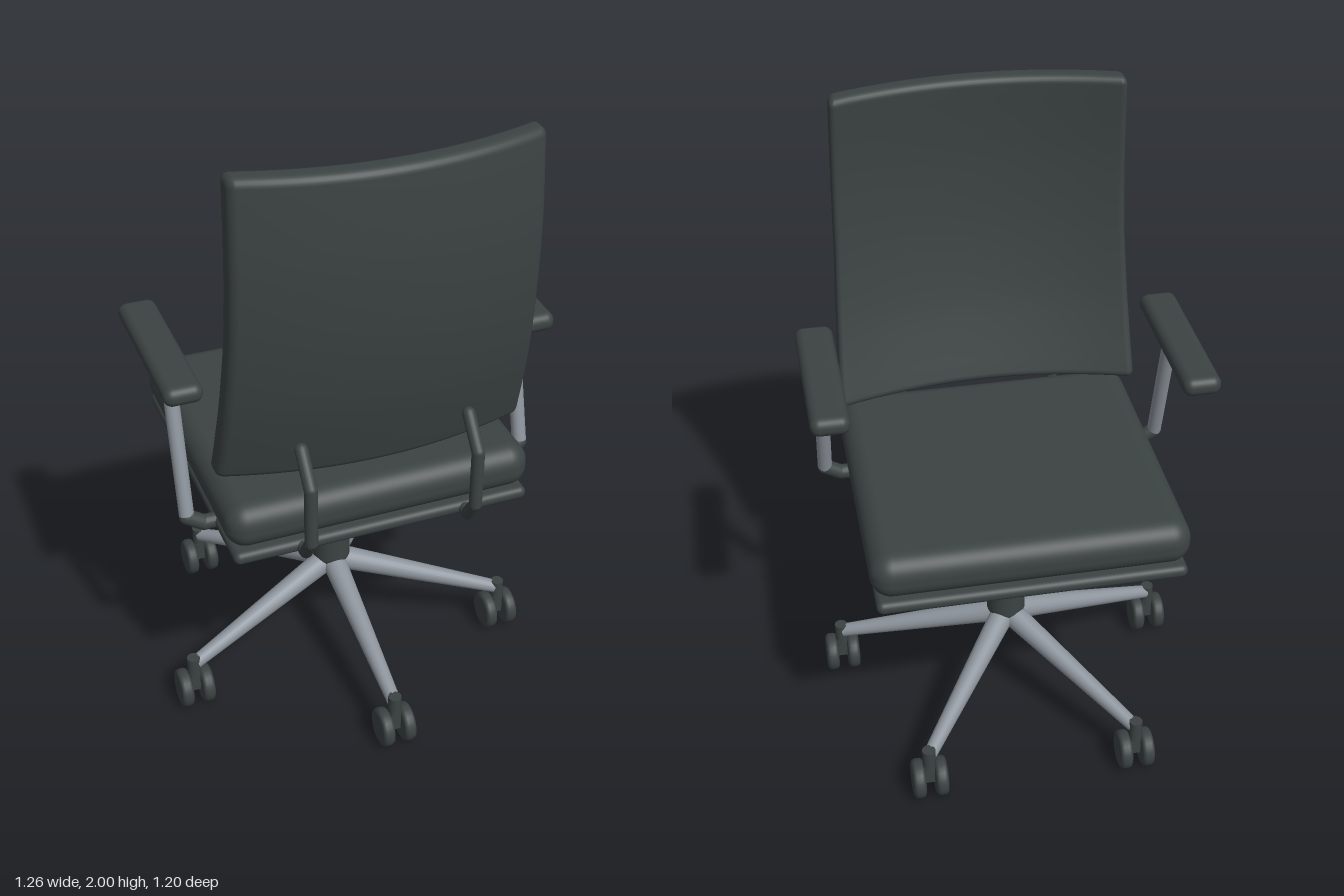
import * as THREE from 'three';
import { mergeVertices } from 'three/addons/utils/BufferGeometryUtils.js';
import { RoundedBoxGeometry } from 'three/addons/geometries/RoundedBoxGeometry.js';

const flat = (name, color) => {
  const m = new THREE.MeshStandardMaterial({ color });
  m.name = name;
  return m;
};

// Rod between two points; r0 at the start, r1 at the end
function rod(a, b, r0, r1, mat, name) {
  const d = new THREE.Vector3().subVectors(b, a);
  const m = new THREE.Mesh(new THREE.CylinderGeometry(r1, r0, d.length(), 20), mat);
  m.position.copy(a).addScaledVector(d, 0.5);
  m.quaternion.setFromUnitVectors(new THREE.Vector3(0, 1, 0), d.normalize());
  m.name = name;
  return m;
}

// Bent bar: straight runs joined by balls
function bentBar(points, r, mat, name) {
  const g = new THREE.Group();
  g.name = name;
  points.forEach((p, i) => {
    const joint = new THREE.Mesh(new THREE.SphereGeometry(r, 16, 10), mat);
    joint.position.copy(p);
    joint.name = name + 'Joint';
    g.add(joint);
    if (i) g.add(rod(points[i - 1], p, r, r, mat, name + 'Run'));
  });
  return g;
}

// Piecewise linear lookup
function lookup(table, y) {
  let i = 1;
  while (i < table.length - 1 && y > table[i][0]) i++;
  const [y0, v0] = table[i - 1], [y1, v1] = table[i];
  return v0 + (v1 - v0) * (y - y0) / (y1 - y0);
}

// Backrest: soft-edged slab, bowed sideways and curved along its height
function backrestGeometry() {
  const h = [0.5, 0.5, 0.038], n = [28, 28, 8], r = 0.025;
  const geo = new THREE.BoxGeometry(2, 2, 2, ...n);
  geo.deleteAttribute('uv');
  geo.deleteAttribute('normal');
  const pos = geo.attributes.position;
  const lean = new THREE.SplineCurve([[1, -0.115], [1.15, -0.07], [1.3, -0.032], [1.5, 0],
    [1.7, 0.013], [1.85, 0.01], [2, 0]].map(p => new THREE.Vector2(...p)));
  const leanTable = lean.getPoints(40).map(p => [p.x, p.y]);
  const width = [[1, 0.965], [1.5, 0.92], [2, 0.897]];
  const p = new THREE.Vector3(), core = new THREE.Vector3();
  // crowd three grid lines into each rounded edge
  const remap = (t, k) => {
    const i = Math.round((t + 1) / 2 * n[k]), j = Math.min(i, n[k] - i);
    if (j <= 3) return Math.sign(t) * (h[k] - r + r * Math.tan((1 - j / 3) * Math.PI / 4));
    return (h[k] - r) * (2 * (i - 3) / (n[k] - 6) - 1);
  };
  for (let i = 0; i < pos.count; i++) {
    p.set(remap(pos.getX(i), 0), remap(pos.getY(i), 1), remap(pos.getZ(i), 2));
    core.set(...p.toArray().map((v, k) => THREE.MathUtils.clamp(v, r - h[k], h[k] - r)));
    p.sub(core).normalize().multiplyScalar(r).add(core);
    const y = p.y + 1.5, u = p.x * 2;
    pos.setXYZ(i, p.x * lookup(width, y), y, p.z + 0.5 - 0.08 * u * u + lookup(leanTable, y));
  }
  const out = mergeVertices(geo, 1e-5);
  out.computeVertexNormals();
  return out;
}

export function createModel() {
  const dark = flat('charcoal', 0x3c4343);
  const metal = flat('brushedMetal', 0x8c939b);
  const V = (x, y, z) => new THREE.Vector3(x, y, z);

  const root = new THREE.Group();
  root.name = 'officeChair';
  const chair = new THREE.Group();
  chair.name = 'chair';
  chair.position.z = -0.03;
  chair.rotation.y = -0.115;
  root.add(chair);

  const add = (geo, mat, name, x, y, z, parent = chair) => {
    const m = new THREE.Mesh(geo, mat);
    m.position.set(x, y, z);
    m.name = name;
    parent.add(m);
    return m;
  };

  // Seat, pan and tilt mechanism
  add(new RoundedBoxGeometry(0.965, 0.145, 0.93, 6, 0.065), dark, 'seatCushion', 0, 0.872, 0);
  add(new RoundedBoxGeometry(0.94, 0.042, 0.93, 4, 0.02), dark, 'seatPan', 0, 0.78, 0);
  add(new THREE.BoxGeometry(0.28, 0.03, 0.3), dark, 'mechanismPlate', 0, 0.752, 0.035);
  add(new RoundedBoxGeometry(0.335, 0.092, 0.4, 4, 0.02), dark, 'mechanism', 0, 0.7, 0.045);

  // Backrest
  add(backrestGeometry(), dark, 'backrest', 0, 0, 0);

  for (const s of [-1, 1]) {
    // Backrest bracket
    chair.add(bentBar([V(s * 0.26, 0.778, 0.36), V(s * 0.26, 0.778, 0.485), V(s * 0.26, 0.845, 0.532),
      V(s * 0.26, 1.035, 0.532), V(s * 0.26, 1.125, 0.455)], 0.02, dark, 'backBracket'));
    // Armrest
    add(new RoundedBoxGeometry(0.117, 0.06, 0.54, 5, 0.028), dark, 'armPad', s * 0.55, 1.275, 0.04);
    chair.add(rod(V(s * 0.55, 0.81, 0.24), V(s * 0.55, 1.26, 0.122), 0.023, 0.023, metal, 'armPost'));
    chair.add(bentBar([V(s * 0.55, 0.808, 0.241), V(s * 0.5, 0.778, 0.245),
      V(s * 0.34, 0.778, 0.245)], 0.024, dark, 'armElbow'));
  }

  // Gas column
  add(new THREE.CylinderGeometry(0.05, 0.05, 0.2, 32), metal, 'columnRod', 0, 0.58, 0);
  const sleeve = [[0, 0.27], [0.04, 0.27], [0.063, 0.335], [0.063, 0.335], [0.063, 0.53], [0.063, 0.53], [0, 0.53]];
  add(new THREE.LatheGeometry(sleeve.map(p => new THREE.Vector2(...p)), 32), dark, 'columnSleeve', 0, 0, 0);

  // Five-star base with twin-wheel casters
  const tyre = [[0, -0.02], [0.05, -0.02], [0.059, -0.016], [0.063, -0.008],
    [0.063, 0.008], [0.059, 0.016], [0.05, 0.02], [0, 0.02]].map(p => new THREE.Vector2(...p));
  const wheelGeo = new THREE.LatheGeometry(tyre, 28).rotateZ(Math.PI / 2);
  for (let i = 0; i < 5; i++) {
    const a = i * Math.PI * 2 / 5, dx = Math.sin(a), dz = Math.cos(a);
    const x = dx * 0.57, z = dz * 0.57;
    chair.add(rod(V(dx * 0.03, 0.31, dz * 0.03), V(x * 0.985, 0.157, z * 0.985), 0.04, 0.022, metal, 'baseLeg'));
    const caster = new THREE.Group();
    caster.name = 'caster';
    caster.position.set(x, 0, z);
    add(new THREE.CylinderGeometry(0.021, 0.021, 0.075, 16), dark, 'casterStem', 0, 0.145, 0, caster);
    add(new THREE.BoxGeometry(0.03, 0.07, 0.035), dark, 'casterBody', 0, 0.09, 0, caster);
    for (const s of [-1, 1]) add(wheelGeo, dark, 'casterWheel', s * 0.036, 0.063, 0, caster);
    chair.add(caster);
  }
  return root;
}
